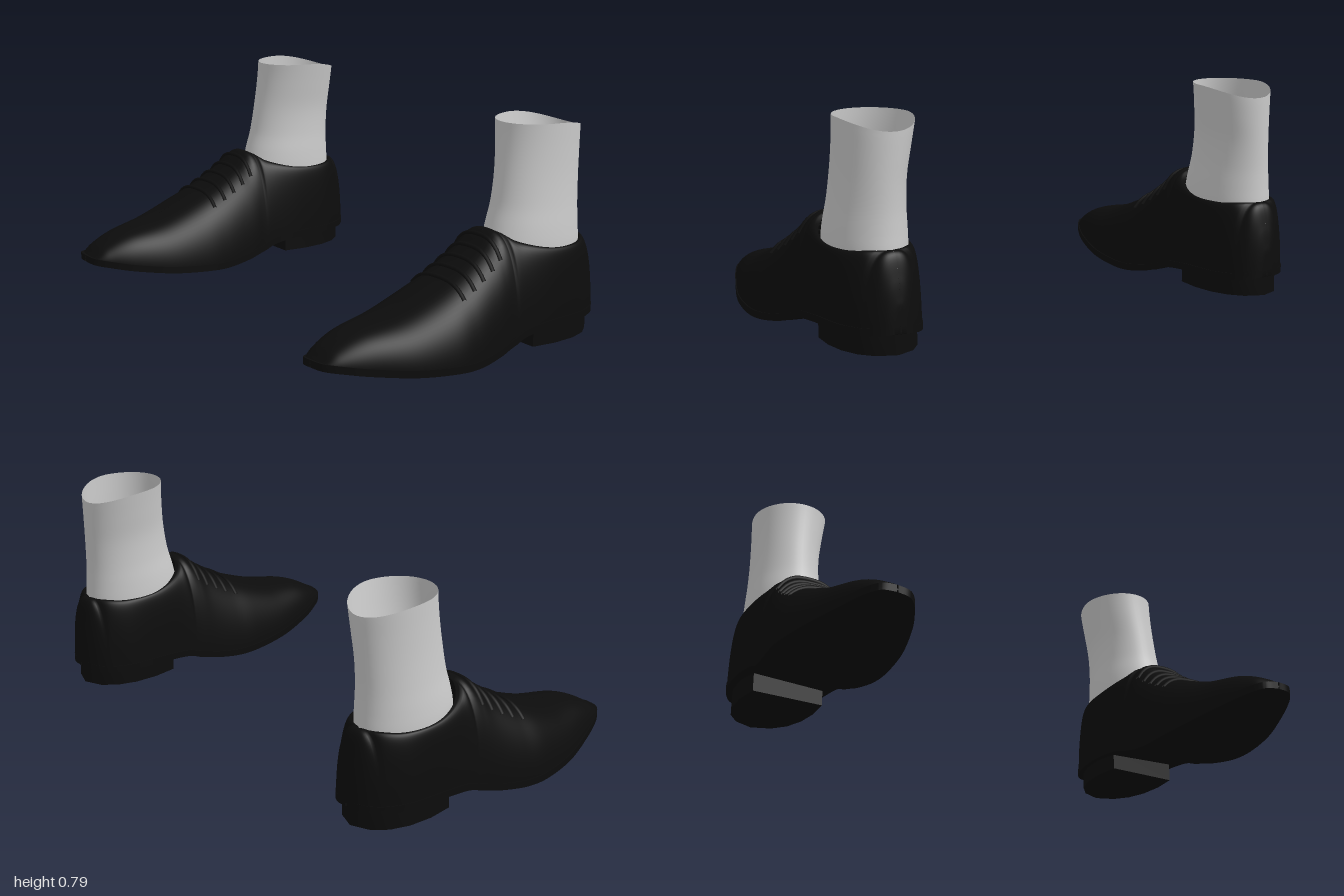
import * as THREE from 'three';
import { toCreasedNormals } from 'three/addons/utils/BufferGeometryUtils.js';

const black = new THREE.MeshStandardMaterial({ color: 0x0c0c0c, side: THREE.DoubleSide });
black.name = 'blackLeather';
const grey = new THREE.MeshStandardMaterial({ color: 0xcacaca, side: THREE.DoubleSide });
grey.name = 'lightGreySock';

// Shoe cross-sections from toe to heel: z, centre x, half width, bottom y, top y
const SECTIONS = [
  [0.605, 0.78, 0.0, 0.064, 0.078], [0.6, 0.78, 0.04, 0.062, 0.082],
  [0.583, 0.78, 0.066, 0.058, 0.1], [0.54, 0.78, 0.095, 0.05, 0.135],
  [0.45, 0.78, 0.135, 0.033, 0.172], [0.3, 0.786, 0.183, 0.012, 0.205],
  [0.15, 0.79, 0.206, 0.002, 0.262], [0.05, 0.788, 0.202, 0.001, 0.308],
  [-0.05, 0.783, 0.187, 0.015, 0.372], [-0.1, 0.78, 0.178, 0.028, 0.414],
  [-0.14, 0.779, 0.171, 0.038, 0.432], [-0.2, 0.778, 0.167, 0.058, 0.393],
  [-0.32, 0.777, 0.167, 0.07, 0.362], [-0.45, 0.775, 0.153, 0.07, 0.355],
  [-0.53, 0.772, 0.12, 0.07, 0.36], [-0.57, 0.77, 0.088, 0.072, 0.348],
  [-0.592, 0.77, 0.056, 0.075, 0.27], [-0.602, 0.77, 0.028, 0.078, 0.2],
  [-0.604, 0.77, 0.0, 0.08, 0.17],
];
const curve = (f) => new THREE.CatmullRomCurve3(
  SECTIONS.map((s) => new THREE.Vector3(...f(s))), false, 'catmullrom', 0.5);
const planCurve = curve((s) => [s[0], s[1], s[2]]);
const sideCurve = curve((s) => [s[0], s[3], s[4]]);

function section(t) {
  const a = planCurve.getPoint(t), b = sideCurve.getPoint(t);
  return { z: a.x, cx: a.y, w: Math.max(0, a.z), y0: b.y, y1: b.z };
}

// Parameter along the shoe for a given z
function paramAtZ(z) {
  let lo = 0, hi = 1;
  for (let i = 0; i < 30; i++) {
    const m = (lo + hi) / 2;
    if (section(m).z > z) lo = m; else hi = m;
  }
  return lo;
}

// Grid surface from a point function f(u, v)
function surface(nu, nv, f, closedV = false) {
  const pos = [], idx = [], cols = closedV ? nv : nv + 1;
  for (let i = 0; i <= nu; i++) {
    for (let j = 0; j < cols; j++) pos.push(...f(i / nu, j / nv));
  }
  for (let i = 0; i < nu; i++) {
    for (let j = 0; j < nv; j++) {
      const k = (j + 1) % cols;
      const a = i * cols + j, b = i * cols + k, c = a + cols, d = b + cols;
      idx.push(a, c, b, b, c, d);
    }
  }
  const g = new THREE.BufferGeometry();
  g.setAttribute('position', new THREE.Float32BufferAttribute(pos, 3));
  g.setIndex(idx);
  g.computeVertexNormals();
  return g;
}

// Point on the upper; angle runs 0..PI over the shoe, leaving the ankle open
function upperPoint(t, angle, lift = 0) {
  const s = section(t);
  const k = (s.z + 0.3475) / 0.1975;
  const open = Math.min(s.w, 0.137 * Math.sqrt(Math.max(0, 1 - k * k)));
  const c = Math.cos(angle), sn = Math.sin(angle);
  const half = open + (s.w - open) * Math.pow(Math.abs(c), 0.7);
  const x = s.cx + (c >= 0 ? 1 : -1) * half;
  const base = s.y0 + 0.012;
  const y = base + (s.y1 - base) * sn + (x - 0.58) * 0.04 * (1 - sn);
  return [x, y + lift, s.z];
}

// Upper half, collar edge to sole; side h = 0 outer, 1 inner
const upperHalf = (h, m) => surface(150, 20, (u, v) => {
  const a = (v * Math.PI) / 2 * 0.99999;
  const [x, y, z] = upperPoint(u, h ? Math.PI - a : a);
  return [x * m, y, z];
});

// Thin sole slab with a narrow welt
function soleGeometry(m) {
  const ring = [[-1, 0], [1, 0], [1, 1], [-1, 1]];
  const g = surface(90, 4, (u, v) => {
    const s = section(u), [sx, sy] = ring[Math.round(v * 4) % 4];
    const x = s.cx + sx * (s.w + 0.003);
    return [x * m, s.y0 + sy * 0.026 + (x - 0.58) * 0.04, s.z];
  }, true);
  return toCreasedNormals(g, 0.7);
}

// Stacked heel block with a straight front edge
function heelGeometry(m) {
  const pts = [[-0.255, 0.135], [-0.35, 0.145], [-0.44, 0.137], [-0.51, 0.112], [-0.56, 0.07], [-0.588, 0]];
  const outline = [...pts.map(([z, w]) => [0.772 + w, z]),
    ...pts.slice(0, -1).reverse().map(([z, w]) => [0.772 - w, z])];
  const shape = new THREE.Shape(outline.map(([x, z]) => new THREE.Vector2(x * m, -z)));
  const g = new THREE.ExtrudeGeometry(shape, { depth: 0.075, bevelEnabled: false });
  g.rotateX(-Math.PI / 2).translate(0, 0.011, 0);
  return toCreasedNormals(g, 0.7);
}

// Sock rings: y, inner x, outer x, front z, back z
const SOCK = [
  [0.26, 0.64, 0.905, -0.155, -0.54], [0.36, 0.638, 0.908, -0.154, -0.54],
  [0.42, 0.641, 0.904, -0.166, -0.537], [0.5, 0.648, 0.895, -0.189, -0.535],
  [0.6, 0.648, 0.888, -0.206, -0.538], [0.7, 0.634, 0.886, -0.219, -0.543],
  [0.79, 0.619, 0.887, -0.226, -0.547],
];
const sockXs = new THREE.CatmullRomCurve3(SOCK.map((r) => new THREE.Vector3(r[0], r[1], r[2])));
const sockZs = SOCK.map((r) => new THREE.Vector2(r[3], r[4]));
function sockGeometry(m) {
  const zs = new THREE.SplineCurve(sockZs);
  return surface(30, 48, (u, v) => {
    const a = v * Math.PI * 2, p = sockXs.getPoint(u), q = zs.getPoint(u);
    const x = (p.y + p.z) / 2 + Math.cos(a) * (p.z - p.y) / 2;
    const z = (q.x + q.y) / 2 + Math.sin(a) * (q.x - q.y) / 2;
    const back = Math.max(0, (-0.36 - z) / 0.187);
    return [x * m, p.x - 0.038 * back * back * u, z];
  }, true);
}

// Lace lying across the instep
function laceGeometry(z, m) {
  const t = paramAtZ(z), pts = [];
  for (let i = 0; i <= 8; i++) {
    const [x, y, pz] = upperPoint(t, Math.PI * (0.3 + 0.4 * i / 8), 0.002);
    pts.push(new THREE.Vector3(x * m, y, pz));
  }
  return new THREE.TubeGeometry(new THREE.CatmullRomCurve3(pts), 16, 0.008, 6);
}

export function createModel() {
  const model = new THREE.Group();
  model.name = 'shoesWithSocks';
  for (const m of [1, -1]) {
    const shoe = new THREE.Group();
    shoe.name = m > 0 ? 'leftShoe' : 'rightShoe';
    const add = (name, geometry, material) => {
      const mesh = new THREE.Mesh(geometry, material);
      mesh.name = name;
      shoe.add(mesh);
    };
    add('outerUpper', upperHalf(0, m), black);
    add('innerUpper', upperHalf(1, m), black);
    add('sole', soleGeometry(m), black);
    add('heel', heelGeometry(m), black);
    add('sock', sockGeometry(m), grey);
    for (const z of [0.08, 0.03, -0.015, -0.06, -0.1]) add('lace', laceGeometry(z, m), black);
    model.add(shoe);
  }
  return model;
}
